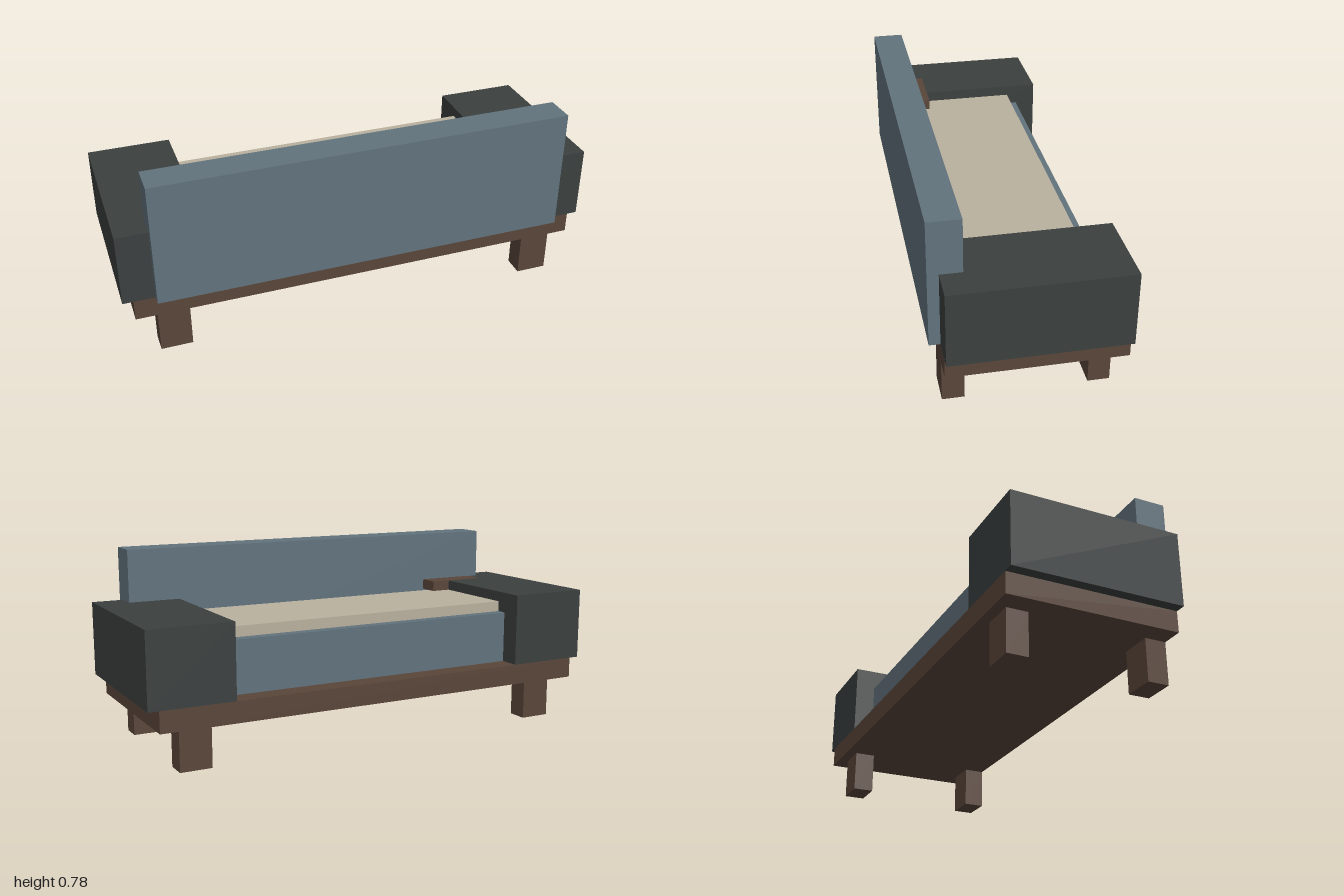
import * as THREE from 'three';

const U = 1 / 23; // the sofa is laid out on a grid 46 units wide

export function createModel() {
  const material = (name, color) => {
    const m = new THREE.MeshStandardMaterial({ color });
    m.name = name;
    return m;
  };
  const wood = material('brownWood', 0x5a463a);
  const blue = material('slateBlueFabric', 0x62737d);
  const dark = material('charcoalFabric', 0x3b403f);
  const cream = material('creamFabric', 0xbab19f);

  const sofa = new THREE.Group();
  sofa.name = 'sofa';

  // box given by its lower and upper corners in grid units
  const box = (name, mat, x0, y0, z0, x1, y1, z1) => {
    const geometry = new THREE.BoxGeometry((x1 - x0) * U, (y1 - y0) * U, (z1 - z0) * U);
    const mesh = new THREE.Mesh(geometry, mat);
    mesh.position.set(((x0 + x1) / 2) * U, ((y0 + y1) / 2) * U, ((z0 + z1) / 2) * U);
    mesh.name = name;
    sofa.add(mesh);
  };

  // frame, seat and backrest
  box('baseFrame', wood, -22, 4, -8.5, 22, 6, 7.5);
  box('seat', blue, -15, 6, -6.5, 15, 11, 5.5);
  box('seatCushion', cream, -15, 11, -5.5, 15, 12, 4.5);
  box('backrest', blue, -20, 6, 5.5, 20, 18, 8.5);

  // armrests and legs, mirrored left and right
  for (const [side, s] of [['left', 1], ['right', -1]]) {
    const pair = (a, b) => (s > 0 ? [a, b] : [-b, -a]);
    const [a0, a1] = pair(15, 23);
    box(side + 'Armrest', dark, a0, 6, -8.5, a1, 13, 7.5);
    const [l0, l1] = pair(17, 20);
    box(side + 'FrontLeg', wood, l0, 0, 5.5, l1, 4, 7.5);
    box(side + 'BackLeg', wood, l0, 0, -7.5, l1, 4, -5.5);
  }

  // small wooden tray set into the right armrest
  box('tray', wood, -19, 12, 3.5, -13, 13.03, 5.5);

  return sofa;
}
